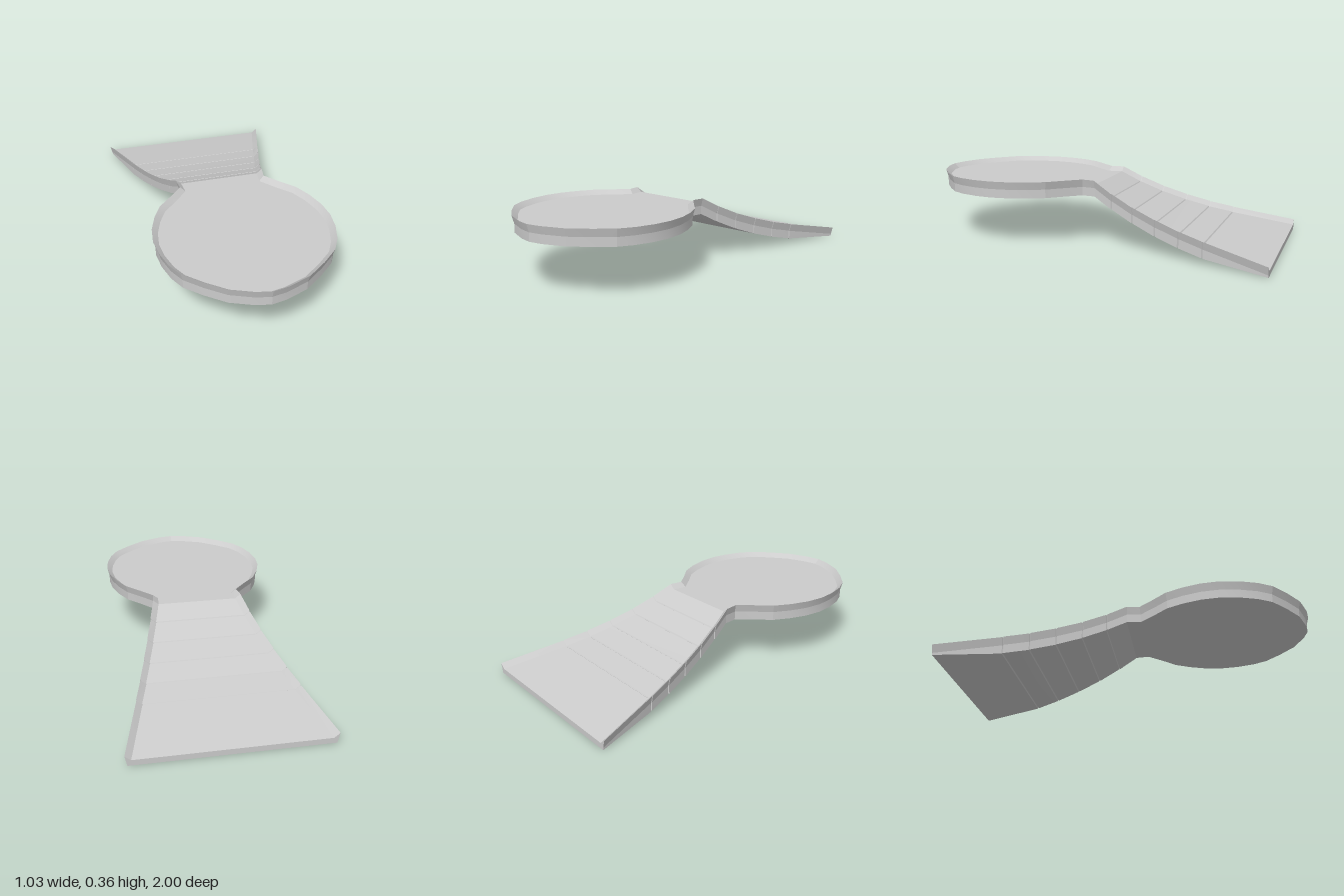
import * as THREE from 'three';
import { toCreasedNormals } from 'three/addons/utils/BufferGeometryUtils.js';

const LIP = 0.03;    // width of the sloped inner lip
const DROP = 0.025;  // floor depth below the lip
const FLARE = 0.012; // outward flare of the rim
const material = new THREE.MeshStandardMaterial({ color: 0xcccccc, side: THREE.DoubleSide });

// Symmetric cross-section: wall, flared rim, sloped lip and floor, offset along the outline normal.
function section({ x, z, top, bottom, nx = 1, nz = 0 }) {
  const at = (inset, y) => new THREE.Vector3(Math.max(0, x - nx * inset), y, z - nz * inset);
  const right = [
    at(FLARE, bottom),
    at(FLARE, Math.max(bottom + 0.002, top - 0.043)),
    at(0, top),
    at(LIP, top - DROP),
  ];
  const left = right.map((p) => new THREE.Vector3(-p.x, p.y, p.z)).reverse();
  return [...right, ...left];
}

// Skin the sections from back to front, optionally closing the back end.
function loft(name, stations, capBack) {
  const rings = stations.map(section);
  const pos = [];
  const tri = (a, b, c) => {
    const area = b.clone().sub(a).cross(c.clone().sub(a)).length();
    if (area > 1e-9) pos.push(...a.toArray(), ...b.toArray(), ...c.toArray());
  };
  for (let i = 0; i < rings.length - 1; i++) {
    for (let k = 0; k < 8; k++) {
      const a = rings[i][k], b = rings[i][(k + 1) % 8];
      const d = rings[i + 1][k], c = rings[i + 1][(k + 1) % 8];
      tri(a, b, c);
      tri(a, c, d);
    }
  }
  if (capBack) {
    const r = rings[0];
    for (const [a, b, c] of [[0, 2, 1], [0, 3, 2], [0, 4, 3], [0, 7, 4], [7, 5, 4], [7, 6, 5]]) tri(r[a], r[b], r[c]);
  }
  const geometry = new THREE.BufferGeometry();
  geometry.setAttribute('position', new THREE.Float32BufferAttribute(pos, 3));
  const mesh = new THREE.Mesh(toCreasedNormals(geometry, 0.22), material);
  mesh.name = name;
  return mesh;
}

export function createModel() {
  const group = new THREE.Group();
  group.name = 'platformWithRamp';

  // Round platform with a short neck: half-width and z along the outline
  const outline = [
    [0.25, -0.015], [0.24, 0.055], [0.305, 0.13], [0.38, 0.21], [0.425, 0.3], [0.457, 0.4],
    [0.468, 0.5], [0.457, 0.6], [0.428, 0.7], [0.385, 0.78], [0.3, 0.86], [0.2, 0.937],
    [0.08, 0.985], [0, 1],
  ];
  const platform = outline.map(([x, z], i) => {
    const s = { x, z, top: 0.36, bottom: 0.27 };
    if (i > 0) {
      const p = outline[i - 1];
      const n = outline[i + 1] ?? [-p[0], p[1]];
      const dx = n[0] - p[0];
      const dz = i === outline.length - 1 ? 0 : n[1] - p[1];
      const len = Math.hypot(dx, dz);
      s.nx = dz / len;
      s.nz = -dx / len;
    }
    return s;
  });
  group.add(loft('roundPlatform', platform, false));

  // Widening ramp: z, rim height and underside height at each joint
  const joints = [
    [-1, 0.055, 0], [-0.655, 0.125, 0.034], [-0.52, 0.157, 0.065], [-0.385, 0.197, 0.105],
    [-0.25, 0.245, 0.155], [-0.122, 0.302, 0.213], [-0.015, 0.36, 0.27],
  ];
  const ramp = [];
  joints.forEach(([z, top, bottom], i) => {
    const x = 0.25 + 0.269 * (-0.015 - z);
    if (i === 0 || i === joints.length - 1) {
      ramp.push({ x, z, top, bottom });
      return;
    }
    // Thin groove between neighbouring panels
    for (const [dz, cut] of [[-0.004, 0], [0, 0.004], [0.004, 0]]) {
      ramp.push({ x: x - cut, z: z + dz, top: top + dz * 0.35 - cut, bottom: bottom + dz * 0.35 + cut });
    }
  });
  group.add(loft('ramp', ramp, true));

  return group;
}
